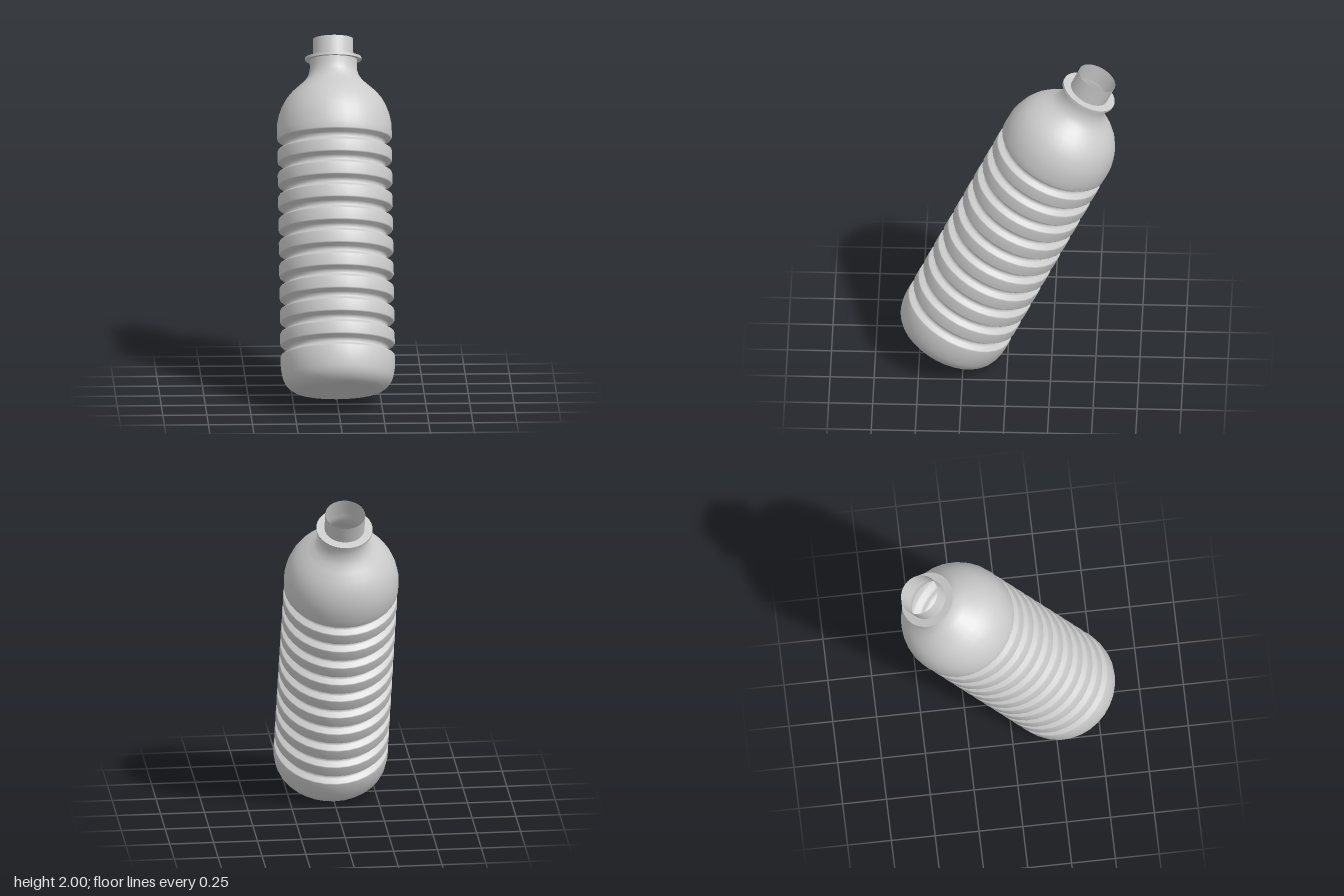
import * as THREE from 'three';

const SEGMENTS = 32;
const material = new THREE.MeshStandardMaterial({ color: 0xcccccc, side: THREE.DoubleSide });

// Surface of revolution from [radius, height] pairs, listed bottom to top
function revolve(name, profile) {
  const points = profile.map(([r, y]) => new THREE.Vector2(r, y));
  const mesh = new THREE.Mesh(new THREE.LatheGeometry(points, SEGMENTS), material);
  mesh.name = name;
  return mesh;
}

export function createModel() {
  const bottle = new THREE.Group();
  bottle.name = 'bottle';

  // Flat underside
  bottle.add(revolve('underside', [[0, 0], [0.22, 0]]));

  // Rounded base, ribbed wall, domed shoulder and neck in one thin shell
  const wall = [[0.22, 0], [0.255, 0.005], [0.283, 0.024], [0.303, 0.05], [0.315, 0.08], [0.323, 0.125], [0.325, 0.16]];
  const grooves = 10, pitch = 0.1324, firstGroove = 0.204;
  const groove = [[0.325, -0.006], [0.321, 0.001], [0.294, 0.012], [0.286, 0.021],
    [0.286, 0.034], [0.294, 0.045], [0.319, 0.058], [0.325, 0.066]];
  for (let i = 0; i < grooves; i++) {
    for (const [r, y] of groove) wall.push([r, firstGroove + i * pitch + y]);
  }
  wall.push([0.326, 1.5], [0.324, 1.55], [0.314, 1.598], [0.297, 1.645], [0.272, 1.69], [0.238, 1.73],
    [0.2, 1.764], [0.167, 1.793], [0.146, 1.822], [0.135, 1.855], [0.133, 1.885], [0.136, 1.917]);
  bottle.add(revolve('body', wall));

  // Collar: flat faces and a narrow rim, kept separate for sharp edges
  const collar = new THREE.Group();
  collar.name = 'collar';
  collar.add(
    revolve('collarUnderside', [[0.136, 1.917], [0.16, 1.917]]),
    revolve('collarRim', [[0.16, 1.917], [0.16, 1.932]]),
    revolve('collarTop', [[0.16, 1.932], [0.114, 1.932]]),
  );
  bottle.add(collar);

  // Open mouth
  bottle.add(revolve('mouth', [[0.114, 1.932], [0.114, 2.04]]));

  // Lean the bottle backwards, resting on the front... rear edge of its base
  bottle.rotation.x = THREE.MathUtils.degToRad(-25);
  bottle.position.set(0, 0.104, 0.355);

  const model = new THREE.Group();
  model.name = 'leaningBottle';
  model.add(bottle);
  return model;
}
